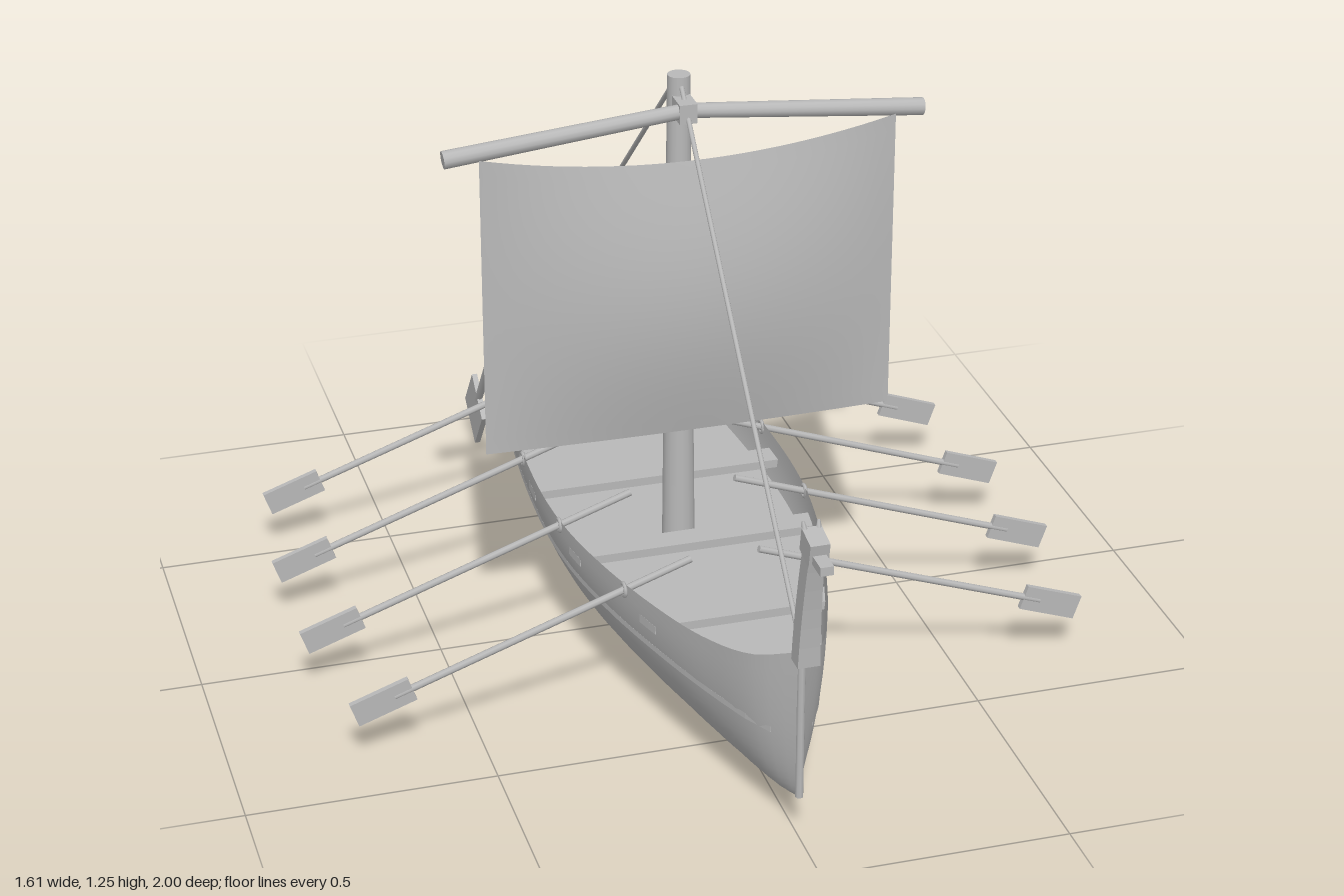
import * as THREE from 'three';

const wood = new THREE.MeshStandardMaterial({ color: 0xb8b8b8, side: THREE.DoubleSide });
wood.name = 'pale grey';

// Hull lines: z, half beam, keel height, sheer height
const LINES = [
  [-1, 0.004, 0.09, 0.495], [-0.95, 0.085, 0.075, 0.445], [-0.88, 0.125, 0.06, 0.4],
  [-0.75, 0.18, 0.042, 0.345], [-0.6, 0.22, 0.028, 0.322], [-0.4, 0.25, 0.012, 0.315],
  [-0.1, 0.268, 0, 0.311], [0.1, 0.26, 0.002, 0.311], [0.3, 0.226, 0.012, 0.316],
  [0.5, 0.172, 0.026, 0.323], [0.65, 0.122, 0.04, 0.336], [0.78, 0.068, 0.06, 0.366],
  [0.87, 0.004, 0.09, 0.412],
];

// Smooth interpolation of one column of the hull lines
function line(z, k) {
  let i = 0;
  while (i < LINES.length - 2 && z > LINES[i + 1][0]) i++;
  const slope = (j) => {
    const a = LINES[Math.max(j - 1, 0)], b = LINES[Math.min(j + 1, LINES.length - 1)];
    return (b[k] - a[k]) / (b[0] - a[0]);
  };
  const a = LINES[i], b = LINES[i + 1], h = b[0] - a[0], t = (z - a[0]) / h;
  const t2 = t * t, t3 = t2 * t;
  return (2 * t3 - 3 * t2 + 1) * a[k] + (t3 - 2 * t2 + t) * h * slope(i)
    + (3 * t2 - 2 * t3) * b[k] + (t3 - t2) * h * slope(i + 1);
}

// Inside half width of the hull at a given height
function halfAt(z, y) {
  const keel = line(z, 2), f = 1 - (y - keel) / (line(z, 3) - keel);
  return line(z, 1) * Math.sqrt(Math.max(0, 1 - f * f));
}

// Grid surface from a point function of (u, v)
function surface(nu, nv, point) {
  const pos = [], index = [];
  for (let i = 0; i <= nu; i++) {
    for (let j = 0; j <= nv; j++) {
      pos.push(...point(i / nu, j / nv));
      if (i < nu && j < nv) {
        const a = i * (nv + 1) + j, b = a + nv + 1;
        index.push(a, a + 1, b, b, a + 1, b + 1);
      }
    }
  }
  const g = new THREE.BufferGeometry();
  g.setAttribute('position', new THREE.Float32BufferAttribute(pos, 3));
  g.setIndex(index);
  g.computeVertexNormals();
  return g;
}

// Flat slab of planking that follows the hull sides
function slab(z0, z1, y, thick) {
  const left = [], right = [], n = 24;
  for (let i = 0; i <= n; i++) {
    const z = z0 + (z1 - z0) * i / n, w = halfAt(z, y);
    left.push(new THREE.Vector2(w, -z));
    right.unshift(new THREE.Vector2(-w, -z));
  }
  const g = new THREE.ExtrudeGeometry(new THREE.Shape([...left, ...right]), { depth: thick, bevelEnabled: false });
  return g.rotateX(-Math.PI / 2).translate(0, y - thick, 0);
}

export function createModel() {
  const model = new THREE.Group();
  model.name = 'sailingGalley';

  const add = (name, geometry, parent = model) => {
    const m = new THREE.Mesh(geometry, wood);
    m.name = name;
    parent.add(m);
    return m;
  };
  // Round bar between two points
  const rod = (name, a, b, r0, r1 = r0, sides = 8, parent = model) => {
    const p = new THREE.Vector3(...a), q = new THREE.Vector3(...b);
    const m = add(name, new THREE.CylinderGeometry(r1, r0, p.distanceTo(q), sides), parent);
    m.position.copy(p).lerp(q, 0.5);
    m.quaternion.setFromUnitVectors(new THREE.Vector3(0, 1, 0), q.sub(p).normalize());
    return m;
  };
  const box = (name, size, at, parent = model) => {
    const m = add(name, new THREE.BoxGeometry(...size), parent);
    m.position.set(...at);
    return m;
  };

  // Hull shell, swept from stern to bow
  add('hull', surface(64, 32, (u, v) => {
    const z = -1 + 1.87 * u, a = (v - 0.5) * Math.PI;
    const keel = line(z, 2), sheer = line(z, 3);
    return [line(z, 1) * Math.sin(a), keel + (sheer - keel) * (1 - Math.cos(a)), z];
  }));

  // Floor, raised stern deck and rowing benches
  add('floor', slab(-0.62, 0.81, 0.22, 0.012));
  add('sternDeck', slab(-0.95, -0.62, 0.3, 0.012));
  box('sternBulkhead', [halfAt(-0.62, 0.24) * 2, 0.085, 0.01], [0, 0.255, -0.62]);
  for (const z of [-0.44, -0.14, 0.155, 0.455]) add('bench', slab(z - 0.028, z + 0.028, 0.275, 0.018));

  // Mast and stays
  rod('mast', [0, 0.21, 0.045], [0, 1.245, 0.045], 0.034, 0.023, 16);
  rod('forestay', [0, 1.24, 0.05], [0, 0.41, 0.865], 0.005);
  rod('backstay', [0, 1.24, 0.04], [0, 0.41, -0.905], 0.005);

  // Yard in two drooping halves
  for (const s of [-1, 1]) rod('yard', [0, 1.19, 0.1], [s * 0.487, 1.143, 0.1], 0.015, 0.018, 12);
  box('yardLashing', [0.036, 0.04, 0.06], [0, 1.187, 0.085]);

  // Billowing sail with a sagging head
  add('sail', surface(24, 20, (u, v) => {
    const x = (u - 0.5) * 0.844, c = 1 - (2 * u - 1) ** 2;
    const top = 1.145 - 0.05 * c;
    const belly = 0.01 * (1 - v) + 0.045 * Math.sin(Math.PI * v);
    return [x, 0.51 + (top - 0.51) * v, 0.127 + c * belly];
  }));

  // Rowing oars: z, outer reach
  const slope = Math.atan(0.355);
  for (const [z, reach] of [[0.375, 0.765], [0.077, 0.806], [-0.223, 0.806], [-0.522, 0.77]]) {
    for (const s of [-1, 1]) {
      const oar = new THREE.Group();
      oar.name = 'oar';
      const inner = reach - 0.695;
      rod('oarShaft', [s * inner, 0.352, z], [s * (reach - 0.09), 0.138, z], 0.0075, 0.0075, 8, oar);
      const blade = box('oarBlade', [0.125, 0.052, 0.012], [s * (reach - 0.067), 0.13, z], oar);
      blade.rotation.z = -s * slope;
      const lock = add('oarLock', new THREE.TorusGeometry(0.013, 0.004, 6, 12), oar);
      const x = line(z, 1);
      lock.position.set(s * x, 0.352 - (x - inner) * 0.352, z);
      lock.rotation.y = Math.PI / 2;
      model.add(oar);
    }
  }

  // Steering oars with tillers on both quarters
  for (const s of [-1, 1]) {
    const rudder = new THREE.Group();
    rudder.name = 'steeringOar';
    const x = s * 0.216;
    rod('steeringShaft', [x, 0.365, -0.655], [x, 0.13, -0.84], 0.009, 0.009, 8, rudder);
    const blade = box('steeringBlade', [0.012, 0.125, 0.115], [x, 0.093, -0.867], rudder);
    blade.rotation.x = Math.atan2(0.185, 0.235);
    rod('tiller', [x, 0.362, -0.665], [s * 0.05, 0.362, -0.57], 0.006, 0.006, 8, rudder);
    rod('steeringBracket', [s * 0.18, 0.315, -0.69], [x, 0.315, -0.69], 0.008, 0.008, 8, rudder);
    model.add(rudder);
  }

  // Bow post with a beast head
  add('bowPost', surface(6, 4, (u, v) => {
    const a = Math.PI / 4 + v * Math.PI * 2, w = 0.022 - 0.007 * u;
    return [Math.cos(a) * w * 1.414, 0.4 + 0.26 * u, 0.888 + 0.012 * u + 0.024 * u * u + Math.sin(a) * 0.028];
  }).toNonIndexed()).geometry.computeVertexNormals();
  const head = new THREE.Group();
  head.name = 'figurehead';
  box('skull', [0.038, 0.05, 0.055], [0, 0.667, 0.928], head).rotation.x = 0.2;
  box('snout', [0.026, 0.018, 0.055], [0, 0.654, 0.972], head);
  for (const s of [-1, 1]) rod('ear', [s * 0.012, 0.68, 0.915], [s * 0.015, 0.708, 0.902], 0.008, 0.003, 6, head);
  model.add(head);

  // Stern post finishing in an inward curl
  const curl = new THREE.CatmullRomCurve3([
    [0.47, -0.992], [0.505, -0.988], [0.535, -0.97], [0.547, -0.942], [0.54, -0.917], [0.525, -0.908],
  ].map(([y, z]) => new THREE.Vector3(0, y, z)));
  add('sternCurl', new THREE.TubeGeometry(curl, 24, 0.011, 8));
  rod('sternPost', [0, 0.09, -0.992], [0, 0.49, -0.992], 0.008);
  rod('stemPost', [0, 0.09, 0.864], [0, 0.412, 0.864], 0.008);

  return model;
}
